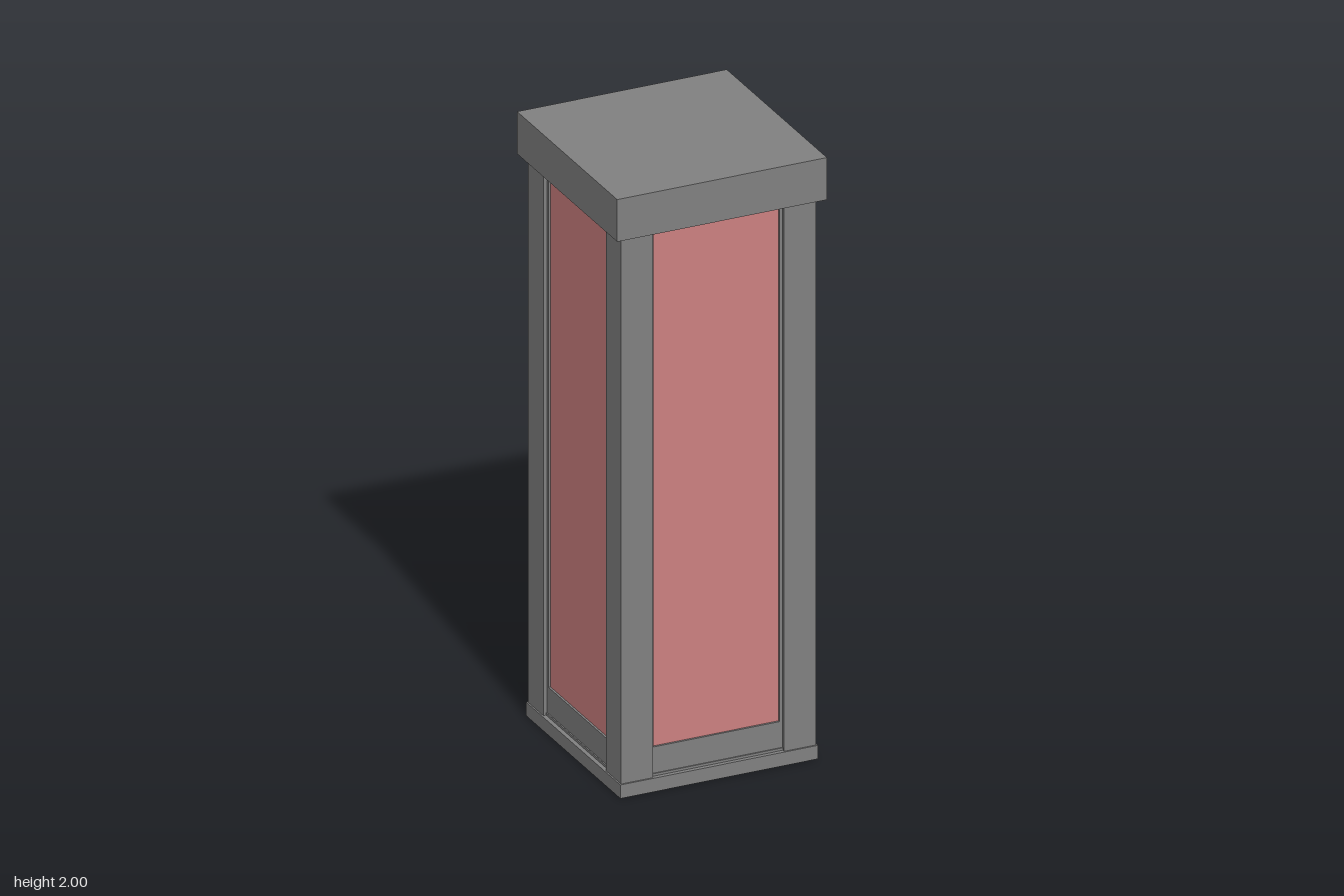
import * as THREE from 'three';

const grey = new THREE.MeshStandardMaterial({ color: 0x808080 });
const red = new THREE.MeshStandardMaterial({ color: 0xcc8080 });

const BASE_TOP = 0.045, CAP_BOTTOM = 1.86, RAIL_TOP = 0.14;

// Box placed by its bottom height and top height
function box(name, width, y0, y1, depth, x, z, material = grey) {
  const mesh = new THREE.Mesh(new THREE.BoxGeometry(width, y1 - y0, depth), material);
  mesh.name = name;
  mesh.position.set(x, (y0 + y1) / 2, z);
  return mesh;
}

// One recessed side, facing +z
function createSide() {
  const side = new THREE.Group();
  side.name = 'side';
  side.add(box('panel', 0.42, RAIL_TOP, CAP_BOTTOM, 0.02, 0, 0.295, red));
  side.add(box('bottomRail', 0.44, BASE_TOP, RAIL_TOP, 0.03, 0, 0.297));
  side.add(box('sill', 0.44, BASE_TOP, 0.053, 0.03, 0, 0.301));
  for (const s of [-1, 1]) {
    side.add(box('stile', 0.01, RAIL_TOP, CAP_BOTTOM, 0.03, s * 0.215, 0.297));
  }
  return side;
}

export function createModel() {
  const model = new THREE.Group();
  model.name = 'panelledColumn';

  model.add(box('base', 0.66, 0, BASE_TOP, 0.66, 0, 0));
  model.add(box('cap', 0.7, CAP_BOTTOM, 2, 0.7, 0, 0));

  // Corner posts
  for (const x of [-1, 1]) {
    for (const z of [-1, 1]) {
      model.add(box('cornerPost', 0.106, BASE_TOP, CAP_BOTTOM, 0.106, x * 0.272, z * 0.272));
    }
  }

  // Four identical sides
  for (let i = 0; i < 4; i++) {
    const side = createSide();
    side.rotation.y = (i * Math.PI) / 2;
    model.add(side);
  }
  return model;
}
